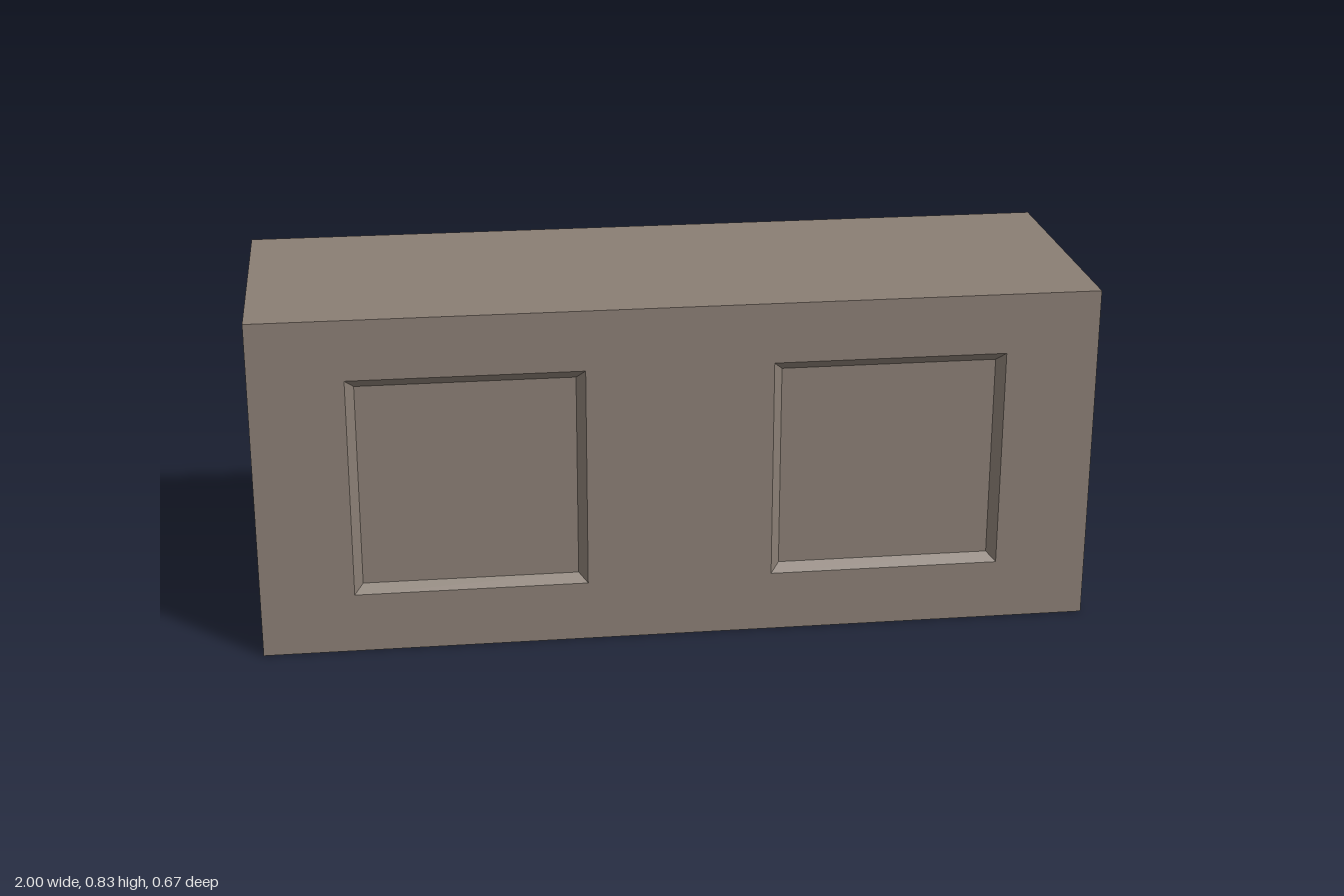
import * as THREE from 'three';

const W = 2, H = 0.833, D = 0.667;
const PANEL = { x: 0.5, y: H / 2, w: 0.556, h: 0.54, bevel: 0.021, depth: 0.02 };

// Corners of a rectangle, counter-clockwise seen from the front
function rectangle(cx, cy, w, h) {
  return [[-1, -1], [1, -1], [1, 1], [-1, 1]].map(
    ([sx, sy]) => new THREE.Vector2(cx + sx * w / 2, cy + sy * h / 2));
}

// Sunken panel: four sloping sides between an outer and an inner ring, plus the floor
function recessGeometry({ w, h, bevel, depth }) {
  const outer = rectangle(0, 0, w, h).map(p => [p.x, p.y, 0]);
  const inner = rectangle(0, 0, w - 2 * bevel, h - 2 * bevel).map(p => [p.x, p.y, -depth]);
  const positions = [];
  const quad = (a, b, c, d) => positions.push(...a, ...b, ...c, ...a, ...c, ...d);
  for (let i = 0; i < 4; i++) {
    const j = (i + 1) % 4;
    quad(outer[i], outer[j], inner[j], inner[i]);
  }
  quad(...inner);
  const geometry = new THREE.BufferGeometry();
  geometry.setAttribute('position', new THREE.Float32BufferAttribute(positions, 3));
  geometry.computeVertexNormals();
  return geometry;
}

export function createModel() {
  const model = new THREE.Group();
  model.name = 'cabinet';
  const material = new THREE.MeshStandardMaterial({ color: 0x8a7e74, flatShading: true });

  const add = (name, geometry, x, y, z) => {
    const mesh = new THREE.Mesh(geometry, material);
    mesh.name = name;
    mesh.position.set(x, y, z);
    model.add(mesh);
  };

  // Carcass: a box without its front side
  const box = new THREE.BoxGeometry(W, H, D);
  const front = box.groups[4];
  box.setIndex(Array.from(box.index.array).filter(
    (_, i) => i < front.start || i >= front.start + front.count));
  box.clearGroups();
  add('carcass', box, 0, H / 2, 0);

  // Front face with an opening for each panel
  const face = new THREE.Shape(rectangle(0, H / 2, W, H));
  for (const side of [-1, 1]) {
    face.holes.push(new THREE.Path(rectangle(side * PANEL.x, PANEL.y, PANEL.w, PANEL.h).reverse()));
  }
  add('frontFace', new THREE.ShapeGeometry(face), 0, 0, D / 2);

  // Two sunken door panels
  const recess = recessGeometry(PANEL);
  add('rightDoorPanel', recess, -PANEL.x, PANEL.y, D / 2);
  add('leftDoorPanel', recess, PANEL.x, PANEL.y, D / 2);

  return model;
}
